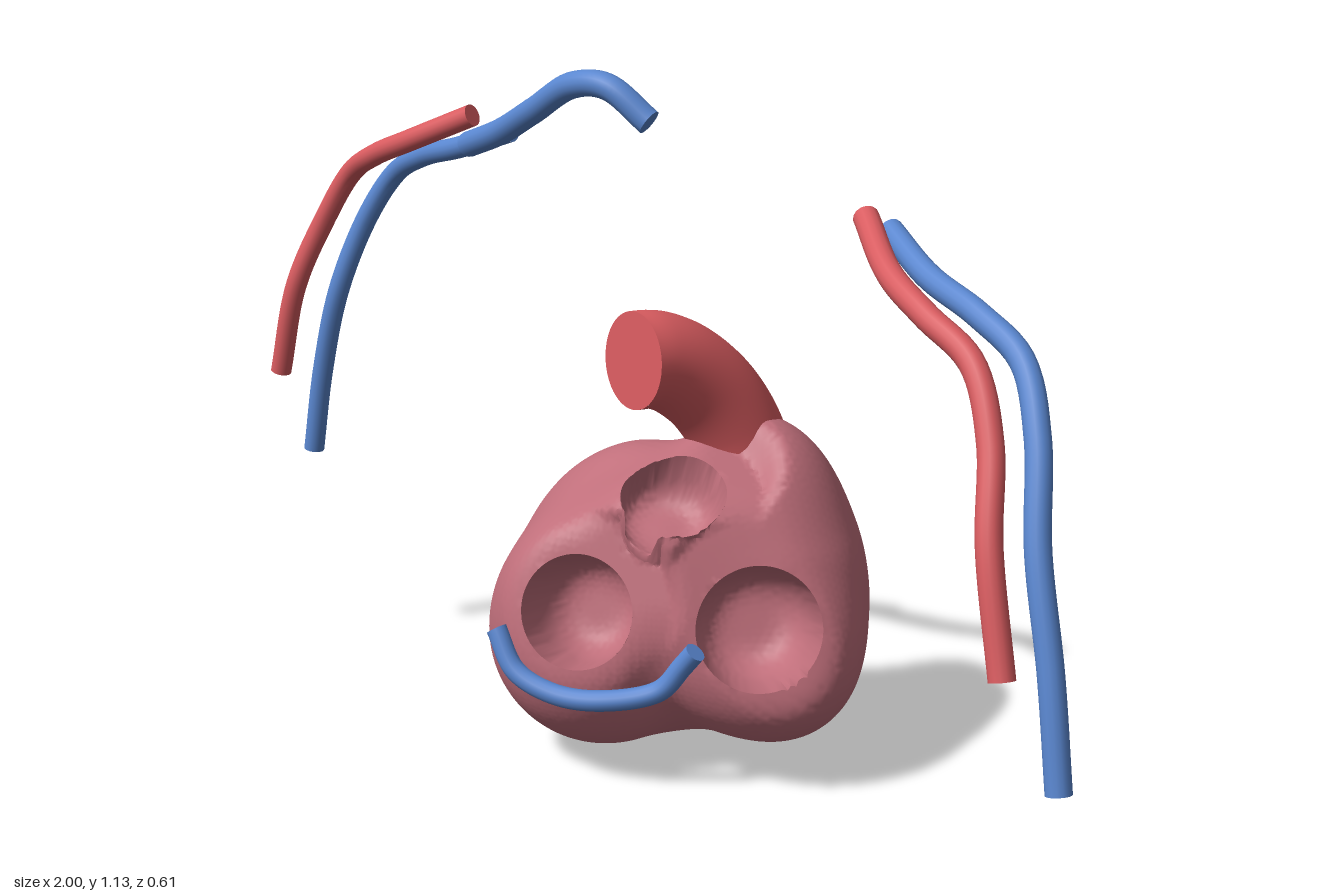
import * as THREE from 'three';
import { mergeVertices, toCreasedNormals } from 'three/addons/utils/BufferGeometryUtils.js';

const V = (x, y, z) => new THREE.Vector3(x, y, z);

// Rounded masses [x, y, z, radius] that blend into the two lobes of the heart
const backLobe = [
  [-0.1, 0.26, -0.09, 0.2], [-0.13, 0.37, -0.125, 0.16], [-0.12, 0.465, -0.11, 0.11],
  [0.02, 0.2, -0.075, 0.105], [-0.27, 0.19, -0.08, 0.172], [-0.37, 0.2, -0.12, 0.112],
  [-0.14, 0.38, 0.045, 0.13],
];
const frontLobe = [
  [-0.26, 0.22, 0.075, 0.19], [-0.34, 0.155, -0.01, 0.14], [-0.34, 0.27, -0.01, 0.145],
  [-0.32, 0.36, 0.01, 0.115], [-0.24, 0.405, -0.01, 0.115], [-0.21, 0.31, 0.13, 0.125],
];

// Valve openings: centre, facing direction, radius, depth
const openings = [
  { c: V(-0.155, 0.3, 0.2), n: V(0.6, 0.25, 0.75).normalize(), r: 0.092, depth: 0.12 },
  { c: V(0.06, 0.29, 0), n: V(0.82, 0.25, 0.5).normalize(), r: 0.1, depth: 0.15 },
  { c: V(-0.08, 0.5, 0.06), n: V(0.45, 0.88, 0.1).normalize(), r: 0.082, depth: 0.09 },
];

function smoothMin(a, b, k) {
  const h = Math.max(k - Math.abs(a - b), 0) / k;
  return Math.min(a, b) - h * h * k * 0.25;
}

function lobeDistance(p, lobe) {
  let d = 10;
  for (const [x, y, z, r] of lobe) {
    d = smoothMin(d, Math.hypot(p.x - x, p.y - y, p.z - z) - r, 0.08);
  }
  return d;
}

function heartDistance(p) {
  let d = smoothMin(lobeDistance(p, backLobe), lobeDistance(p, frontLobe), 0.04);
  for (const o of openings) {
    const plane = (p.x - o.c.x) * o.n.x + (p.y - o.c.y) * o.n.y + (p.z - o.c.z) * o.n.z;
    // Flatten only around each opening
    const reach = Math.hypot(p.x - o.c.x, p.y - o.c.y, p.z - o.c.z) - o.r * 1.7;
    d = -smoothMin(-d, -(plane - Math.max(reach, 0)), 0.02);
  }
  return d;
}

// Sphere shrunk onto the blended lobes, then pushed in at the openings
function heartGeometry() {
  let g = new THREE.IcosahedronGeometry(1, 52);
  g.deleteAttribute('uv');
  g.deleteAttribute('normal');
  g = mergeVertices(g, 1e-5);
  const pos = g.attributes.position;
  const centre = V(-0.22, 0.27, -0.04);
  const dir = V(), p = V(), q = V();
  for (let i = 0; i < pos.count; i++) {
    dir.fromBufferAttribute(pos, i).normalize();
    let t = 0.7;
    for (let k = 0; k < 60; k++) {
      p.copy(centre).addScaledVector(dir, t);
      t -= heartDistance(p) * 0.6;
    }
    p.copy(centre).addScaledVector(dir, t);
    for (const o of openings) {
      q.copy(p).sub(o.c);
      const h = q.dot(o.n);
      if (h < -0.1) continue;
      q.addScaledVector(o.n, -h);
      const s = q.length() / o.r;
      if (Math.abs(s - 1) < 0.045) {
        p.addScaledVector(q, 1 / s - 1); // snap to a clean rim
      } else if (s < 1) {
        p.addScaledVector(o.n, -o.depth * Math.sqrt(1 - s ** 4));
        break;
      }
    }
    pos.setXYZ(i, p.x, p.y, p.z);
  }
  return toCreasedNormals(g, 0.75);
}

// Round tube through points, closed with flat ends
function vessel(name, points, radius, material, sides = 14) {
  const group = new THREE.Group();
  group.name = name;
  const curve = new THREE.CatmullRomCurve3(points.map((a) => V(...a)));
  group.add(new THREE.Mesh(new THREE.TubeGeometry(curve, 56, radius, sides), material));
  for (const u of [0, 1]) {
    const cap = new THREE.Mesh(new THREE.CircleGeometry(radius, sides * 2), material);
    const out = curve.getTangentAt(u).multiplyScalar(u ? 1 : -1);
    cap.position.copy(curve.getPointAt(u));
    cap.quaternion.setFromUnitVectors(V(0, 0, 1), out);
    group.add(cap);
  }
  group.children.forEach((m, i) => { m.name = name + (i ? 'End' : 'Tube'); });
  return group;
}

export function createModel() {
  const muscle = new THREE.MeshStandardMaterial({ name: 'muscle pink', color: 0xc06f7b });
  const red = new THREE.MeshStandardMaterial({ name: 'artery red', color: 0xd95c60 });
  const blue = new THREE.MeshStandardMaterial({ name: 'vein blue', color: 0x5a87d0 });

  const model = new THREE.Group();
  model.name = 'heartAndVessels';

  const heart = new THREE.Mesh(heartGeometry(), muscle);
  heart.name = 'heart';
  model.add(heart);

  // Large artery arching up and forward
  model.add(vessel('aorta', [
    [-0.155, 0.48, -0.14], [-0.165, 0.56, -0.108], [-0.173, 0.62, -0.065],
    [-0.178, 0.663, -0.01], [-0.18, 0.681, 0.035], [-0.18, 0.684, 0.07],
  ], 0.078, red, 32));

  // Vein wrapping the front of the heart
  model.add(vessel('heartVein', [
    [-0.26, 0.26, 0.283], [-0.22, 0.2, 0.275], [-0.165, 0.172, 0.245], [-0.1, 0.168, 0.2],
    [-0.03, 0.19, 0.13], [0, 0.235, 0.105], [0.02, 0.262, 0.095],
  ], 0.017, blue));

  // Paired arm vessels
  for (const [side, s] of [['left', 1], ['right', -1]]) {
    model.add(vessel(side + 'ArmArtery', [
      [0.505, 1.037, 0.157], [0.62, 0.985, 0.208], [0.71, 0.95, 0.222], [0.8, 0.905, 0.22],
      [0.86, 0.82, 0.24], [0.905, 0.7, 0.277], [0.95, 0.54, 0.29],
    ].map(([x, y, z]) => [x * s, y, z]), 0.018, red));
    model.add(vessel(side + 'ArmVein', [
      [0.485, 1.008, 0.098], [0.6, 0.968, 0.125], [0.71, 0.938, 0.132], [0.8, 0.895, 0.135],
      [0.86, 0.81, 0.16], [0.905, 0.68, 0.195], [0.95, 0.53, 0.208], [0.98, 0.38, 0.216],
    ].map(([x, y, z]) => [x * s, y, z]), 0.018, blue));
  }

  // Single vein running on toward the neck
  model.add(vessel('shoulderVein', [
    [-0.58, 0.975, 0.12], [-0.48, 1.01, 0.12], [-0.37, 1.06, 0.125], [-0.27, 1.112, 0.115],
    [-0.205, 1.115, 0.095], [-0.145, 1.065, 0.06],
  ], 0.021, blue));

  return model;
}
